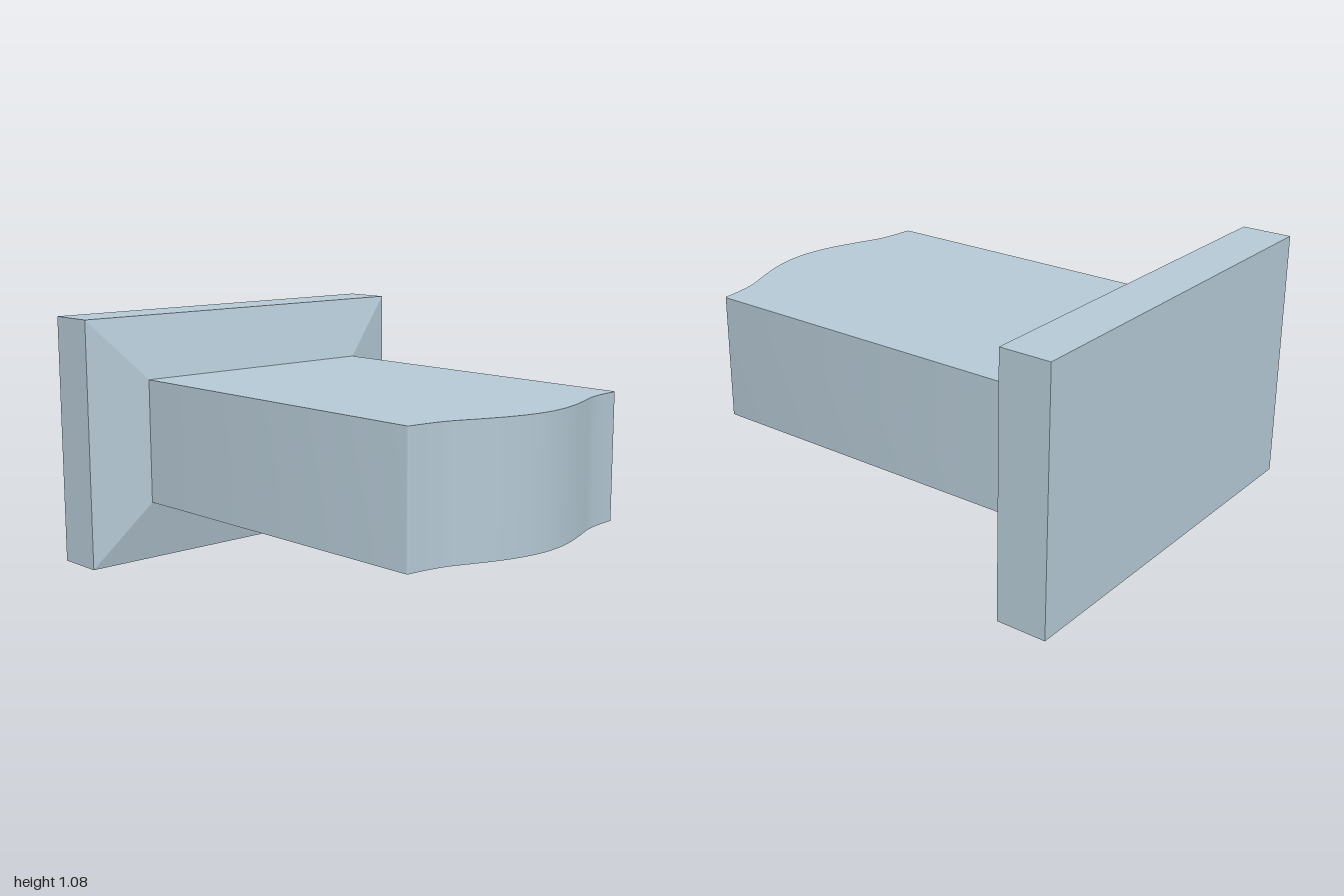
import * as THREE from 'three';
import { toCreasedNormals } from 'three/addons/utils/BufferGeometryUtils.js';

const BAR = { halfWidth: 0.595, bottom: 0.27, top: 0.81, front: 0.862 };
const PLATE = { width: 1.72, height: 1.08, back: -1, shoulder: -0.785, front: -0.715 };

// Rectangular plate whose front shoulder tapers in to the bar
function plateGeometry() {
  const box = new THREE.BoxGeometry(PLATE.width, PLATE.height, 2, 1, 1, 2);
  const p = box.attributes.position;
  for (let i = 0; i < p.count; i++) {
    const level = Math.round(p.getZ(i));
    p.setZ(i, [PLATE.back, PLATE.shoulder, PLATE.front][level + 1]);
    if (level === 1) {
      p.setX(i, Math.sign(p.getX(i)) * BAR.halfWidth);
      p.setY(i, Math.sign(p.getY(i)) * (BAR.top - BAR.bottom) / 2);
    }
  }
  const flat = box.toNonIndexed();
  flat.computeVertexNormals();
  return flat.translate(0, PLATE.height / 2, 0);
}

// Straight bar with a bowed, wavy front end, extruded upright
function barGeometry() {
  const w = BAR.halfWidth, f = BAR.front, r = 0.012;
  const half = [[0.5, 0.87], [0.41, 0.888], [0.31, 0.927], [0.2, 0.967], [0.1, 0.991]];
  const wave = [
    ...half.map(([x, z]) => new THREE.Vector2(x, z)),
    new THREE.Vector2(0, 1),
    ...half.map(([x, z]) => new THREE.Vector2(-x, z)).reverse(),
    new THREE.Vector2(-w + r, f),
  ];
  const outline = new THREE.Shape();
  outline.moveTo(-w, PLATE.front);
  outline.lineTo(w, PLATE.front);
  outline.lineTo(w, f - r);
  outline.quadraticCurveTo(w, f, w - r, f);
  outline.splineThru(wave);
  outline.quadraticCurveTo(-w, f, -w, f - r);
  outline.closePath();

  const geometry = new THREE.ExtrudeGeometry(outline, {
    depth: BAR.top - BAR.bottom, bevelEnabled: false, curveSegments: 6,
  });
  geometry.rotateX(Math.PI / 2).translate(0, BAR.top, 0);
  return toCreasedNormals(geometry, 0.5);
}

export function createModel() {
  const group = new THREE.Group();
  const material = new THREE.MeshStandardMaterial({ color: 0xb4c8d4 });
  const add = (name, geometry) => {
    const mesh = new THREE.Mesh(geometry, material);
    mesh.name = name;
    group.add(mesh);
  };
  add('backPlate', plateGeometry());
  add('bar', barGeometry());
  return group;
}
